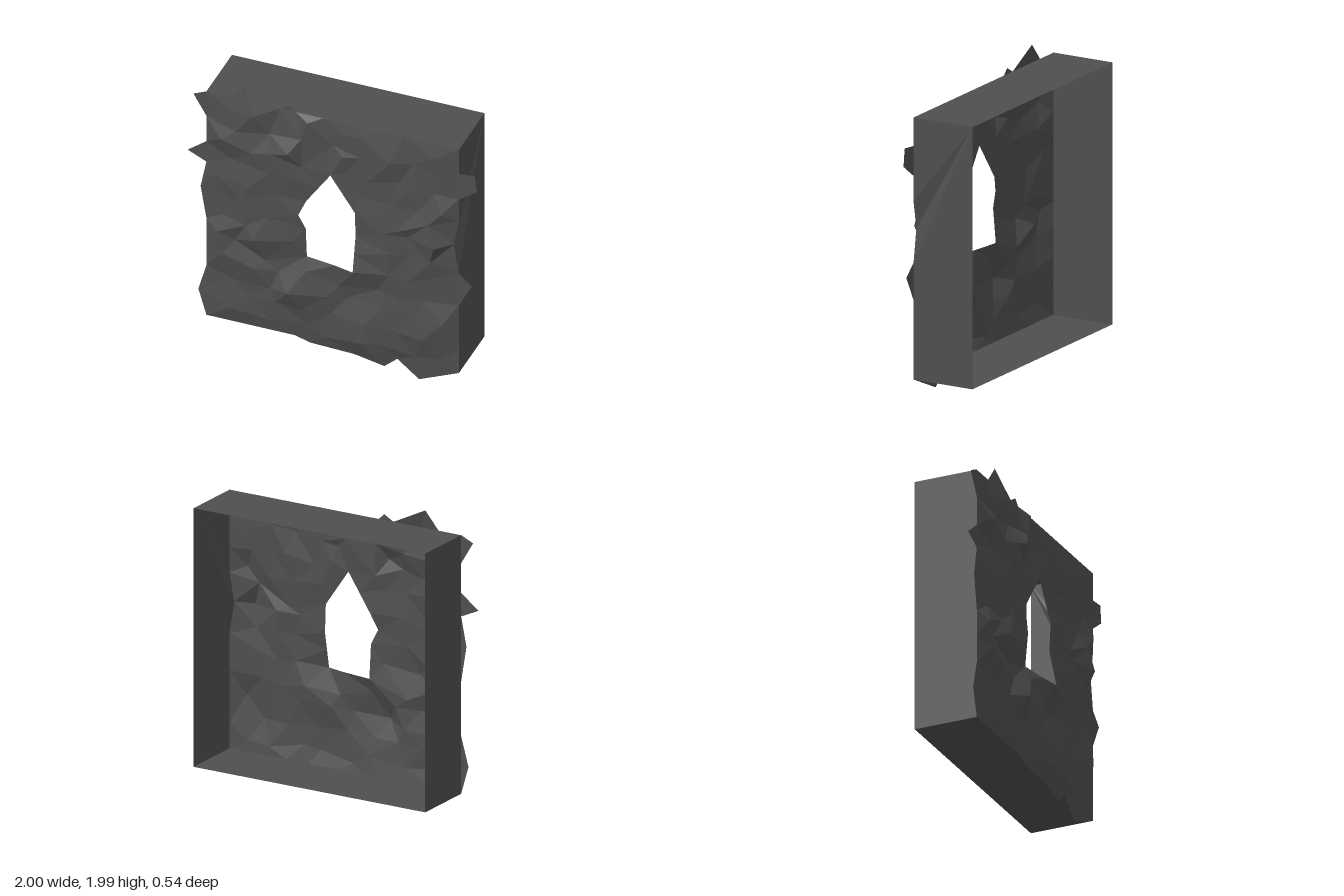
import * as THREE from 'three';

const FRONT = 0.167, BACK = -0.273;

// Jagged rim of the rock sheet, clockwise from the upper left
const RIM = [
  [-0.96, 1.83], [-0.87, 1.87], [-0.7, 1.87], [-0.6, 1.99], [-0.36, 1.87], [-0.29, 1.91], [-0.25, 1.87],
  [0.875, 1.87], [0.875, 1.68], [0.985, 1.69], [1, 1.57], [0.875, 1.48], [0.875, 1.31], [0.84, 1.12],
  [0.875, 0.9], [0.965, 0.82], [0.875, 0.65], [0.875, 0.12], [0.6, 0], [0.45, 0.12], [0.36, 0.04],
  [0.15, 0.08], [-0.15, 0.09], [-0.26, 0.12], [-0.87, 0.12], [-0.925, 0.31], [-0.87, 0.51],
  [-0.87, 0.88], [-0.91, 1.12], [-0.87, 1.32], [-1, 1.38], [-0.87, 1.48], [-0.87, 1.68],
];
// Pointed window opening, with the depth of its edge
const WINDOW = [
  [-0.17, 0.77, 0.18], [0.04, 0.77, 0.21], [0.17, 0.77, 0.24], [0.17, 1.02, 0.19], [0.17, 1.21, 0.2],
  [0, 1.46, 0.2], [-0.17, 1.21, 0.19], [-0.17, 1, 0.2],
];
// Main crags and hollows
const CRAGS = [
  [-0.28, 0.5, 0.265], [-0.42, 0.46, 0.19], [-0.36, 0.61, 0.19], [0.24, 0.36, 0.22], [0.64, 0.35, 0.22],
  [-0.16, 0.25, 0.19], [-0.6, 1.13, 0.22], [0.45, 1.14, 0.21], [0.54, 0.96, 0.19], [0.55, 1.48, 0.19],
  [0.08, 1.62, 0.2], [-0.75, 1.56, 0.22], [-0.26, 0.88, 0.21], [-0.45, 0.67, 0.19], [-0.78, 0.83, 0.22],
  [0.73, 1.1, 0.25], [-0.52, 0.84, 0.245], [-0.28, 1.58, 0.25],
];

function seeded(seed) {
  return () => (seed = (seed * 16807) % 2147483647) / 2147483647;
}

function inside(x, y, poly) {
  let hit = false;
  poly.forEach((a, i) => {
    const b = poly[(i + 1) % poly.length];
    if ((a[1] > y) !== (b[1] > y) && x < a[0] + ((y - a[1]) / (b[1] - a[1])) * (b[0] - a[0])) hit = !hit;
  });
  return hit;
}

// Adds evenly spaced points along each edge of a closed outline
function subdivide(poly, step) {
  return poly.flatMap((a, i) => {
    const b = poly[(i + 1) % poly.length];
    const n = Math.max(1, Math.round(Math.hypot(b[0] - a[0], b[1] - a[1]) / step));
    return Array.from({ length: n }, (_, k) => a.map((v, c) => v + ((b[c] - v) * k) / n));
  });
}

// Delaunay triangulation, with y stretched so facets run sideways
function triangulate(points) {
  const p = points.map(([x, y]) => [x, y * 1.3]);
  const n = p.length;
  p.push([-60, -50], [60, -50], [0, 80]);
  const circle = (a, b, c) => {
    const [ax, ay] = p[a], bx = p[b][0] - ax, by = p[b][1] - ay, cx = p[c][0] - ax, cy = p[c][1] - ay;
    const d = 2 * (bx * cy - by * cx), b2 = bx * bx + by * by, c2 = cx * cx + cy * cy;
    const ux = (cy * b2 - by * c2) / d, uy = (bx * c2 - cx * b2) / d;
    return { v: [a, b, c], x: ax + ux, y: ay + uy, r: ux * ux + uy * uy };
  };
  let tris = [circle(n, n + 1, n + 2)];
  for (let i = 0; i < n; i++) {
    const edges = new Map();
    tris = tris.filter((t) => {
      if ((p[i][0] - t.x) ** 2 + (p[i][1] - t.y) ** 2 >= t.r) return true;
      t.v.forEach((a, k) => {
        const b = t.v[(k + 1) % 3];
        if (!edges.delete(b + '_' + a)) edges.set(a + '_' + b, [a, b]);
      });
      return false;
    });
    for (const [a, b] of edges.values()) tris.push(circle(a, b, i));
  }
  return tris.map((t) => t.v).filter((v) => v.every((k) => k < n));
}

function facets(corners) {
  const g = new THREE.BufferGeometry();
  g.setAttribute('position', new THREE.Float32BufferAttribute(corners.flat(), 3));
  g.computeVertexNormals();
  return g;
}

function rockSheet() {
  const rand = seeded(4711);
  const nudge = () => (rand() - 0.5) * 1e-4;
  const points = [
    ...subdivide(RIM, 0.2).map(([x, y]) => [x + nudge(), y + nudge(), FRONT]),
    ...subdivide(WINDOW, 0.15).map(([x, y, z]) => [x + nudge(), y + nudge(), z]),
    ...CRAGS,
  ];
  // Scattered smaller bumps between the crags
  for (let row = 0; row < 12; row++) {
    for (let col = 0; col < 9; col++) {
      const x = -0.86 + (col + (row % 2) * 0.5) * 0.205 + (rand() - 0.5) * 0.12;
      const y = 0.2 + row * 0.145 + (rand() - 0.5) * 0.09;
      const z = 0.178 + rand() * 0.05;
      const free = points.every((q) => Math.hypot(q[0] - x, q[1] - y) > 0.09);
      if (free && Math.abs(x) < 0.82 && inside(x, y, RIM) && !inside(x, y, WINDOW)) points.push([x, y, z]);
    }
  }
  const corners = [];
  for (const [a, b, c] of triangulate(points).map((t) => t.map((k) => points[k]))) {
    const x = (a[0] + b[0] + c[0]) / 3, y = (a[1] + b[1] + c[1]) / 3;
    if (!inside(x, y, RIM) || inside(x, y, WINDOW)) continue;
    const ccw = (b[0] - a[0]) * (c[1] - a[1]) - (b[1] - a[1]) * (c[0] - a[0]) > 0;
    corners.push(...(ccw ? [a, b, c] : [a, c, b]).flat());
  }
  return facets(corners);
}

// Flat side panel as a fan around its first corner
function fan(points) {
  const corners = [];
  for (let i = 1; i < points.length - 1; i++) corners.push(points[0], points[i], points[i + 1]);
  return facets(corners);
}

export function createModel() {
  const group = new THREE.Group();
  const stone = new THREE.MeshStandardMaterial({ color: 0x4f4f4f, flatShading: true, side: THREE.DoubleSide });
  stone.name = 'dark stone';
  const add = (name, geometry) => {
    const mesh = new THREE.Mesh(geometry, stone);
    mesh.name = name;
    group.add(mesh);
  };

  add('rockFace', rockSheet());

  // Open-backed box of four thin walls
  const L = -0.87, R = 0.875, B = 0.12, T = 1.87;
  add('topWall', fan([[L, T, BACK], [L, T, FRONT], [R, T, FRONT], [R, T, BACK]]));
  add('bottomWall', fan([[L, B, BACK], [R, B, BACK], [R, B, FRONT], [L, B, FRONT]]));
  add('rightWall', fan([[L, T, BACK], [L, B, BACK], [L, B, FRONT], [L, T, FRONT]]));
  // This wall is dented along its front edge
  add('leftWall', fan([
    [R, T, BACK], [R, T, FRONT], [R, 1.31, FRONT], [0.84, 1.12, FRONT], [R, 0.9, FRONT], [R, B, FRONT], [R, B, BACK],
  ]));
  return group;
}
